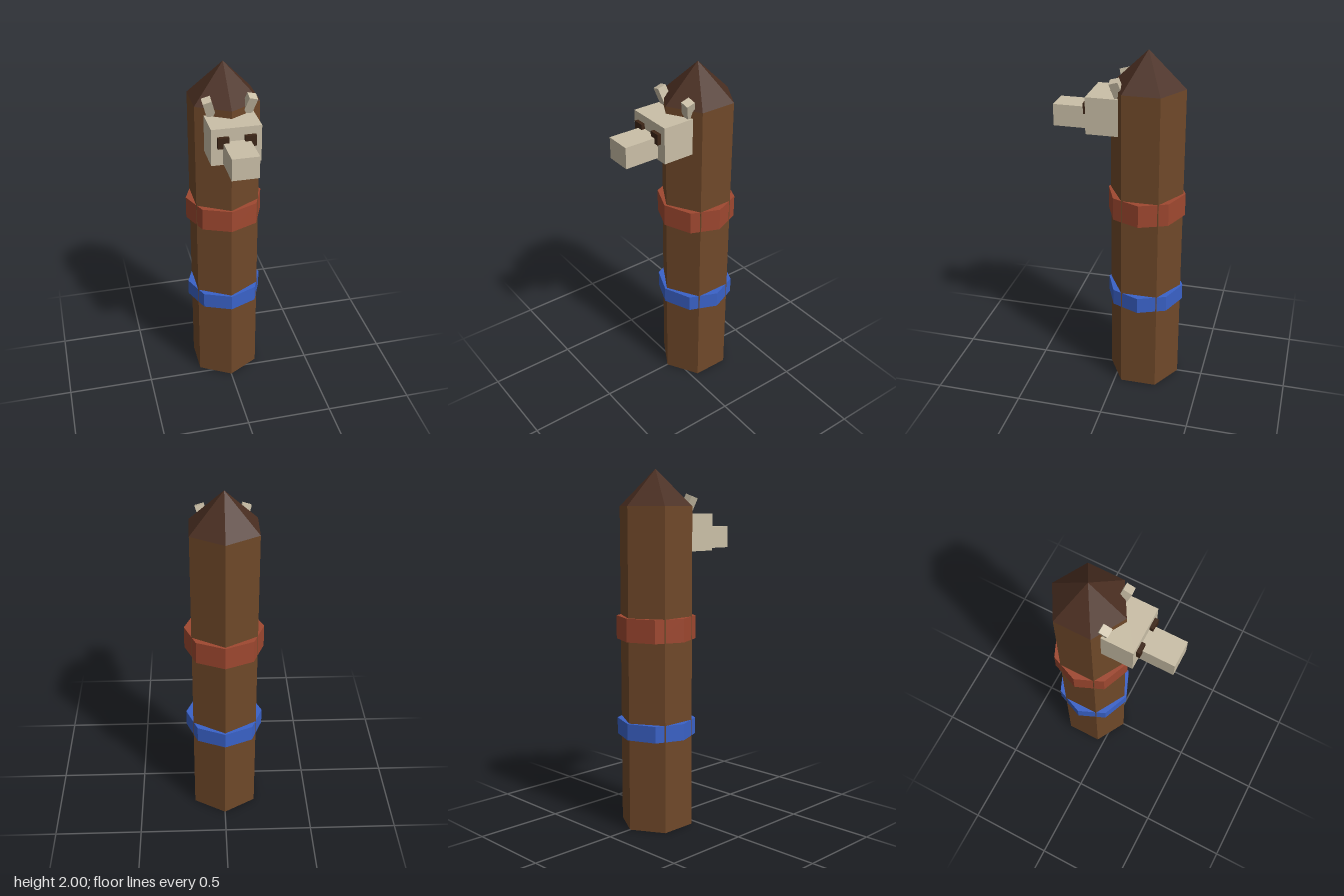
import * as THREE from 'three';

const POST_Z = -0.145;

export function createModel() {
  const model = new THREE.Group();
  model.name = 'animalPost';

  const mat = (color) => new THREE.MeshStandardMaterial({ color, flatShading: true });
  const wood = mat(0x6f4829);
  const darkWood = mat(0x4a2e21);
  const red = mat(0x9f4830);
  const blue = mat(0x3a62c8);
  const cream = mat(0xcabfa7);
  const eyeBrown = mat(0x3d2617);

  const add = (name, geometry, material, x, y, z, parent = model) => {
    const mesh = new THREE.Mesh(geometry, material);
    mesh.name = name;
    mesh.position.set(x, y, z);
    parent.add(mesh);
    return mesh;
  };

  // Six-sided post with a pointed cap
  add('post', new THREE.CylinderGeometry(0.207, 0.207, 1.8, 6), wood, 0, 0.9, POST_Z);
  add('pointedCap', new THREE.ConeGeometry(0.207, 0.2, 6), darkWood, 0, 1.9, POST_Z);

  // Eight-sided painted bands
  const band = (name, bottom, top, material) =>
    add(name, new THREE.CylinderGeometry(0.22, 0.22, top - bottom, 8), material, 0, (bottom + top) / 2, POST_Z);
  band('redBand', 1.07, 1.2, red);
  band('blueBand', 0.522, 0.615, blue);

  // Head and snout
  const head = new THREE.Group();
  head.name = 'head';
  model.add(head);
  add('skull', new THREE.BoxGeometry(0.27, 0.206, 0.18), cream, 0, 1.656, 0.077, head);
  add('snout', new THREE.BoxGeometry(0.146, 0.122, 0.205), cream, 0, 1.624, 0.2625, head);

  // Eyes and outward, forward-leaning ears, mirrored
  for (const [side, s] of [['left', 1], ['right', -1]]) {
    add(side + 'Eye', new THREE.BoxGeometry(0.061, 0.06, 0.03), eyeBrown, s * 0.0725, 1.685, 0.173, head);

    const earGeometry = new THREE.BoxGeometry(0.049, 0.16, 0.05).translate(0, -0.08, 0);
    const ear = add(side + 'Ear', earGeometry, cream, s * 0.124, 1.855, 0.012, head);
    ear.rotation.set(0.28, 0, -s * 0.28);
  }

  return model;
}
